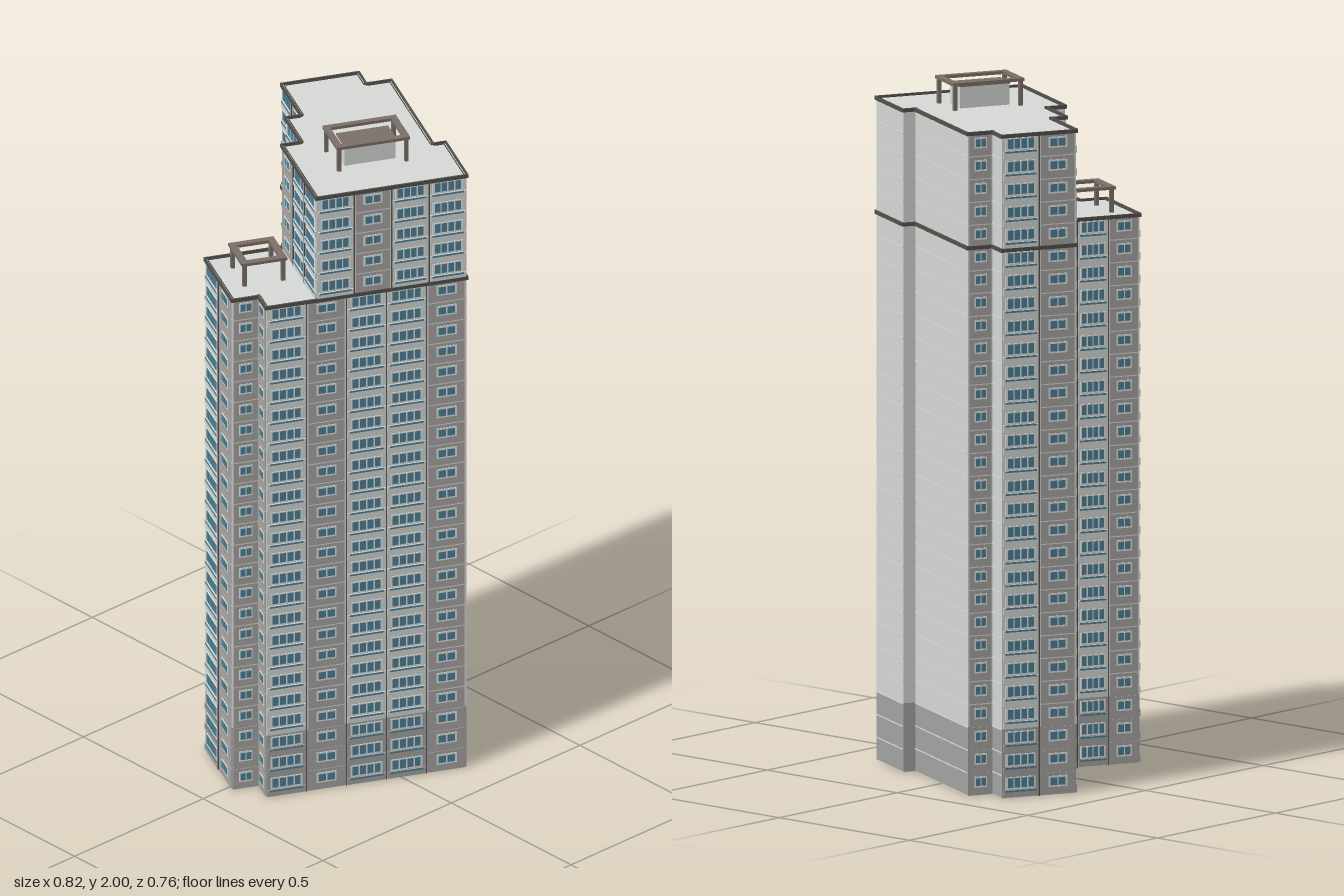
import * as THREE from 'three';
import { mergeGeometries } from 'three/addons/utils/BufferGeometryUtils.js';

const mat = (name, color) => Object.assign(new THREE.MeshStandardMaterial({ color }), { name });
const M = {
  wall: mat('pale concrete', 0xd9dcd8),
  base: mat('base grey', 0xa6a6a4),
  panel: mat('panel grey', 0xa9a8a5),
  trim: mat('dark trim', 0x55524e),
  glass: mat('blue glass', 0x4f8299),
  frame: mat('window frame', 0xe8ebe9),
  brown: mat('roof brown', 0x7d726a),
};

const FLOOR = 0.0662, LOW = 24 * FLOOR, HIGH = 29 * FLOOR, BASE = 0.2;

// Footprint in plan (along, depth), walked so every edge faces outwards
const K = [0.323, 0.264], J = [0.323, 0.056], I = [0.286, 0.056], H = [0.286, -0.34], G = [0.211, -0.34],
  F = [0.211, -0.411], E = [-0.023, -0.411], D = [-0.023, -0.218], C = [-0.071, -0.218], B = [-0.071, -0.067],
  A = [-0.359, -0.067], O = [-0.359, 0.193], N = [-0.28, 0.193], P = [-0.28, 0.264],
  L = [-0.13, 0.264], S = [-0.13, -0.067];
const lowPlan = [P, K, J, I, H, G, F, E, D, C, B, A, O, N];
const highPlan = [L, K, J, I, H, G, F, E, D, C, B, S];
// One bay pattern per edge: B balcony, W window, - blank, = blank with joints
const lowBays = ['BWBBW', '=', '-', '=', 'W', '=', 'BW', 'BW', '-', 'B', 'BBW', 'BW', 'W', 'W'];
const highBays = ['BWBB', '=', '-', '=', 'W', '=', 'BW', 'BW', '-', 'B', '-', 'WBB'];

// Outward normal of a plan edge
function normal(p, q) {
  const l = Math.hypot(q[0] - p[0], q[1] - p[1]);
  return [-(q[1] - p[1]) / l, (q[0] - p[0]) / l];
}

// Move every wall inwards by d
function inset(plan, d) {
  return plan.map((p, i) => {
    const a = normal(plan.at(i - 1), p), b = normal(p, plan[(i + 1) % plan.length]);
    return [p[0] - d * (a[0] + b[0]), p[1] - d * (a[1] + b[1])];
  });
}

export function createModel() {
  const model = new THREE.Group();
  model.name = 'apartmentTower';
  const parts = {};
  const identity = new THREE.Matrix4();

  function add(name, material, geo, matrix = identity) {
    (parts[name] ??= { material, geos: [] }).geos.push(geo.applyMatrix4(matrix));
  }
  function box(name, material, w, h, d, x, y, z, matrix) {
    add(name, material, new THREE.BoxGeometry(w, h, d).translate(x, y, z), matrix);
  }
  function prism(name, material, plan, y0, y1) {
    const shape = new THREE.Shape(plan.map(p => new THREE.Vector2(p[0], -p[1])));
    const geo = new THREE.ExtrudeGeometry(shape, { depth: y1 - y0, bevelEnabled: false });
    add(name, material, geo.rotateX(-Math.PI / 2).translate(0, y0, 0));
  }

  // Frame of a wall: x runs along it from p, z points outwards
  function wallMatrix(p, q) {
    const m = new THREE.Matrix4().makeRotationY(Math.atan2(-(q[1] - p[1]), q[0] - p[0]));
    return m.setPosition(p[0], 0, p[1]);
  }

  // Glazed balcony: projecting spandrel, wide window and glass strip
  function balcony(x, w, y, m, low) {
    box(low ? 'baseSpandrels' : 'balconySpandrels', low ? M.base : M.wall, w * 0.94, 0.02, 0.004, x, y + 0.012, 0.002, m);
    box('balconyFrames', M.frame, w * 0.8, 0.036, 0.002, x, y + 0.042, 0.001, m);
    box('balconyRails', M.glass, w * 0.84, 0.005, 0.002, x, y + 0.0195, 0.0045, m);
    const n = 4, pane = w * 0.74 / n;
    for (let i = 0; i < n; i++)
      box('balconyGlass', M.glass, pane * 0.78, 0.028, 0.002, x + (i - (n - 1) / 2) * pane, y + 0.043, 0.002, m);
  }

  // Small two-pane window on a grey panel
  function smallWindow(x, w, y, m) {
    const s = Math.min(w * 0.5, 0.06);
    box('greyPanels', M.panel, w * 0.9, FLOOR - 0.003, 0.002, x, y + FLOOR / 2, 0.001, m);
    box('windowFrames', M.frame, s, 0.032, 0.002, x, y + 0.039, 0.0025, m);
    for (const k of [-1, 1])
      box('windowGlass', M.glass, s * 0.36, 0.022, 0.002, x + k * s * 0.22, y + 0.039, 0.0035, m);
  }

  function facade(p, q, bays, f0, f1) {
    const m = wallMatrix(p, q), len = Math.hypot(q[0] - p[0], q[1] - p[1]);
    if (bays === '-') return;
    if (bays === '=') {
      for (let f = f0 + 1; f < f1; f++)
        box('wallJoints', M.wall, len, 0.003, 0.002, len / 2, f * FLOOR, 0.001, m);
      return;
    }
    const w = len / bays.length;
    [...bays].forEach((bay, i) => {
      const x = (i + 0.5) * w;
      for (let f = f0; f < f1; f++) {
        if (bay === 'B') balcony(x, w, f * FLOOR, m, f < 3);
        else smallWindow(x, w, f * FLOOR, m);
      }
      // Thin dark fin between bays
      if (i) box('facadeFins', M.trim, 0.0025, (f1 - f0) * FLOOR, 0.004, i * w, (f0 + f1) / 2 * FLOOR, 0.002, m);
    });
  }

  // Facades and the double dark line around a roof
  function volume(plan, bays, f0, f1) {
    const walls = inset(plan, 0.003), top = f1 * FLOOR;
    walls.forEach((p, i) => {
      const q = walls[(i + 1) % walls.length], m = wallMatrix(p, q);
      facade(p, q, bays[i], f0, f1);
      const len = Math.hypot(q[0] - p[0], q[1] - p[1]);
      box('parapetTrim', M.trim, len + 0.008, 0.011, 0.005, len / 2, top + 0.0005, 0.0025, m);
      box('roofKerb', M.trim, len - 0.01, 0.004, 0.002, len / 2, top + 0.001, -0.005, m);
    });
    return walls;
  }
  const lowWalls = volume(lowPlan, lowBays, 0, 24);
  const highWalls = volume(highPlan, highBays, 24, 29);
  prism('groundSlab', M.wall, lowWalls, 0, 0.002);
  prism('baseStorey', M.base, lowWalls, 0.002, BASE);
  prism('lowerTower', M.wall, lowWalls, BASE, LOW);
  prism('upperTower', M.wall, highWalls, LOW, HIGH);

  // Open roof frame on four posts
  function pergola(u0, u1, v0, v1, t, roof, top) {
    const h = 0.009, y = top - h / 2, cu = (u0 + u1) / 2, cv = (v0 + v1) / 2;
    for (const v of [v0 + t / 2, v1 - t / 2]) box('roofFrames', M.brown, u1 - u0, h, t, cu, y, v);
    for (const u of [u0 + t / 2, u1 - t / 2]) {
      box('roofFrames', M.brown, t, h, v1 - v0 - 2 * t, u, y, cv);
      for (const v of [v0 + t / 2, v1 - t / 2])
        box('roofPosts', M.brown, 0.011, top - h - roof, 0.011, u, (roof + top - h) / 2, v);
    }
  }
  pergola(-0.026, 0.193, -0.006, 0.132, 0.018, HIGH, 2);
  pergola(-0.307, -0.172, -0.006, 0.126, 0.02, LOW, 1.665);

  // Plant room under the upper frame
  box('plantRoom', M.wall, 0.152, 0.062, 0.075, 0.083, HIGH + 0.031, 0.063);
  box('plantRoomLid', M.brown, 0.155, 0.004, 0.078, 0.083, HIGH + 0.064, 0.063);

  for (const [name, { material, geos }] of Object.entries(parts)) {
    const mesh = new THREE.Mesh(mergeGeometries(geos), material);
    mesh.name = name;
    model.add(mesh);
  }
  model.rotation.y = -25.5 * Math.PI / 180;
  return model;
}
